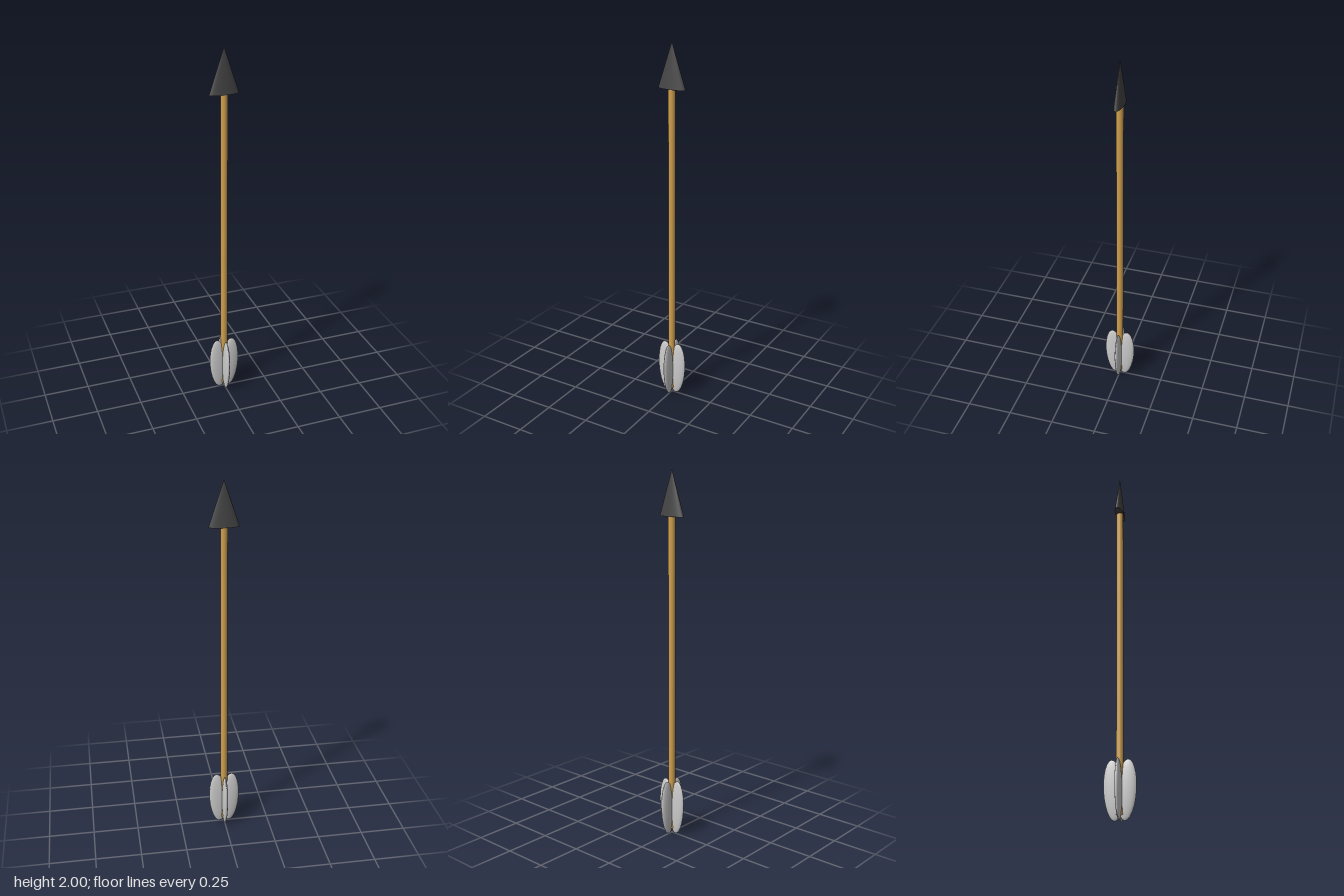
import * as THREE from 'three';

export function createModel() {
  const model = new THREE.Group();
  model.name = 'arrow';

  const add = (name, geometry, color) => {
    const mesh = new THREE.Mesh(geometry, new THREE.MeshStandardMaterial({ color }));
    mesh.name = name;
    model.add(mesh);
    return mesh;
  };

  // Wooden shaft, running from inside the fletching up into the head
  const shaft = add('shaft', new THREE.CylinderGeometry(0.019, 0.019, 1.75, 16), 0xd0a050);
  shaft.position.y = 0.905;

  // Flattened cone head
  const head = add('arrowHead', new THREE.ConeGeometry(0.08, 0.24, 32).scale(1, 1, 0.3), 0x444444);
  head.position.y = 1.88;

  // Four thin ellipsoid feathers, leaning slightly outward at the top
  for (let i = 0; i < 4; i++) {
    const geometry = new THREE.SphereGeometry(1, 16, 12)
      .scale(0.051, 0.157, 0.016)
      .rotateZ(-0.06)
      .translate(0.034, 0.157, 0)
      .rotateY(i * Math.PI / 2);
    add('feather' + (i + 1), geometry, 0xcccccc);
  }

  return model;
}
